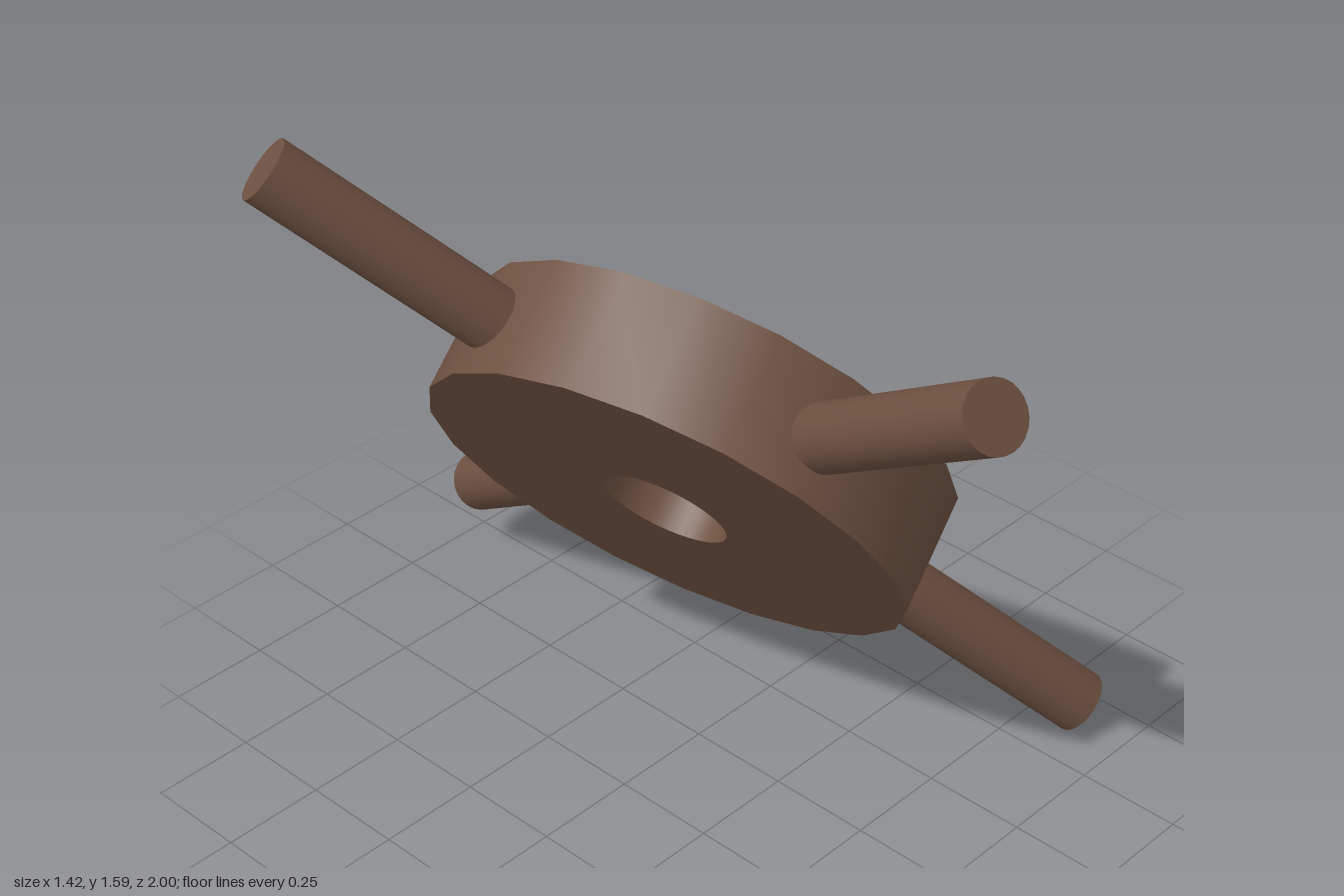
import * as THREE from 'three';
import { toCreasedNormals } from 'three/addons/utils/BufferGeometryUtils.js';

export function createModel() {
  const model = new THREE.Group();
  const wood = new THREE.MeshStandardMaterial({ color: 0x6d5040 });
  wood.name = 'brown wood';

  // Tilted frame: x and y run along the handles, z along the wheel axle
  const a = new THREE.Vector3(-0.65, 0.735, -0.618).normalize();
  const n = a.clone().cross(new THREE.Vector3(-0.208, 0.62, 0.953)).normalize();
  const b = n.clone().cross(a);
  const wheel = new THREE.Group();
  wheel.name = 'wheel';
  wheel.quaternion.setFromRotationMatrix(new THREE.Matrix4().makeBasis(a, b, n));
  wheel.position.set(0, 0.79, 0);
  model.add(wheel);

  // Hub: twenty-sided disc with a round axle hole
  const radius = 0.58, depth = 0.28, sides = 20;
  const outline = [];
  for (let i = 0; i < sides; i++) {
    const t = (i / sides) * Math.PI * 2;
    outline.push(new THREE.Vector2(Math.cos(t) * radius, Math.sin(t) * radius));
  }
  const shape = new THREE.Shape(outline);
  shape.holes.push(new THREE.Path().absarc(0, 0, 0.15, 0, Math.PI * 2, true));
  const disc = new THREE.ExtrudeGeometry(shape, { depth, bevelEnabled: false, curveSegments: 20 });
  disc.translate(0, -0.036, -depth / 2);
  const hub = new THREE.Mesh(toCreasedNormals(disc, 0.6), wood);
  hub.name = 'hub';
  wheel.add(hub);

  // Four round handles sunk into the rim
  const inner = 0.48, outer = 1.158;
  const rod = new THREE.CylinderGeometry(0.076, 0.076, outer - inner, 24);
  rod.translate(0, (inner + outer) / 2, 0);
  for (let i = 0; i < 4; i++) {
    const handle = new THREE.Mesh(rod, wood);
    handle.name = `handle${i + 1}`;
    handle.rotation.z = (i * Math.PI) / 2;
    wheel.add(handle);
  }
  return model;
}
